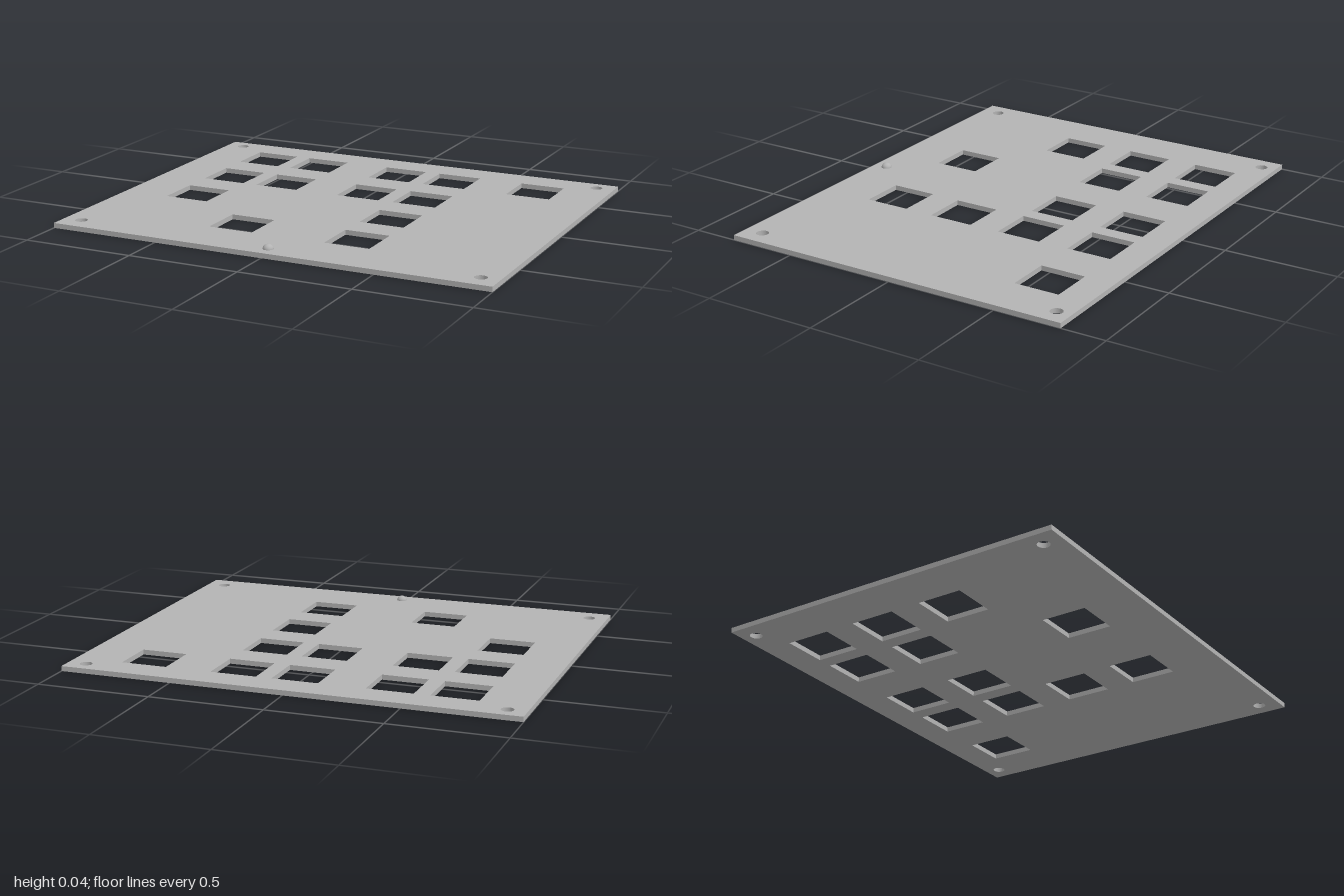
import * as THREE from 'three';

const THICKNESS = 0.022;
const CUTOUT = 0.204;

// Cutout centres, row by row: [z, [x, ...]]
const ROWS = [
  [-0.562, [-0.683, -0.41, 0, 0.274, 0.683]],
  [-0.22, [-0.683, -0.41, 0, 0.274]],
  [0.123, [-0.683, 0.274]],
  [0.461, [-0.272, 0.27]],
];

// Rectangle path around a centre
function rectangle(path, x, y, w, h) {
  path.moveTo(x - w / 2, y - h / 2);
  path.lineTo(x + w / 2, y - h / 2);
  path.lineTo(x + w / 2, y + h / 2);
  path.lineTo(x - w / 2, y + h / 2);
  path.closePath();
  return path;
}

export function createModel() {
  const model = new THREE.Group();
  model.name = 'switchPlate';
  const metal = new THREE.MeshStandardMaterial({ color: 0xb3b3b3 });
  metal.name = 'plate grey';

  // Plate outline, drawn with shape y = -z
  const outline = rectangle(new THREE.Shape(), 0, 0, 2, 1.604);

  // Square switch cutouts
  for (const [z, xs] of ROWS) {
    for (const x of xs) outline.holes.push(rectangle(new THREE.Path(), x, -z, CUTOUT, CUTOUT));
  }

  // Round screw holes in the corners
  for (const x of [-0.918, 0.918]) {
    for (const z of [-0.735, 0.714]) {
      outline.holes.push(new THREE.Path().absarc(x, -z, 0.027, 0, Math.PI * 2, true));
    }
  }

  const plateGeometry = new THREE.ExtrudeGeometry(outline, {
    depth: THICKNESS, bevelEnabled: false, curveSegments: 24,
  });
  plateGeometry.rotateX(-Math.PI / 2);
  const plate = new THREE.Mesh(plateGeometry, metal);
  plate.name = 'plate';
  model.add(plate);

  // Small domed bump near the front edge
  const bump = new THREE.Mesh(
    new THREE.SphereGeometry(0.023, 24, 10, 0, Math.PI * 2, 0, Math.PI / 2), metal);
  bump.scale.y = 0.9;
  bump.position.set(0, THICKNESS, 0.737);
  bump.name = 'bump';
  model.add(bump);

  return model;
}
